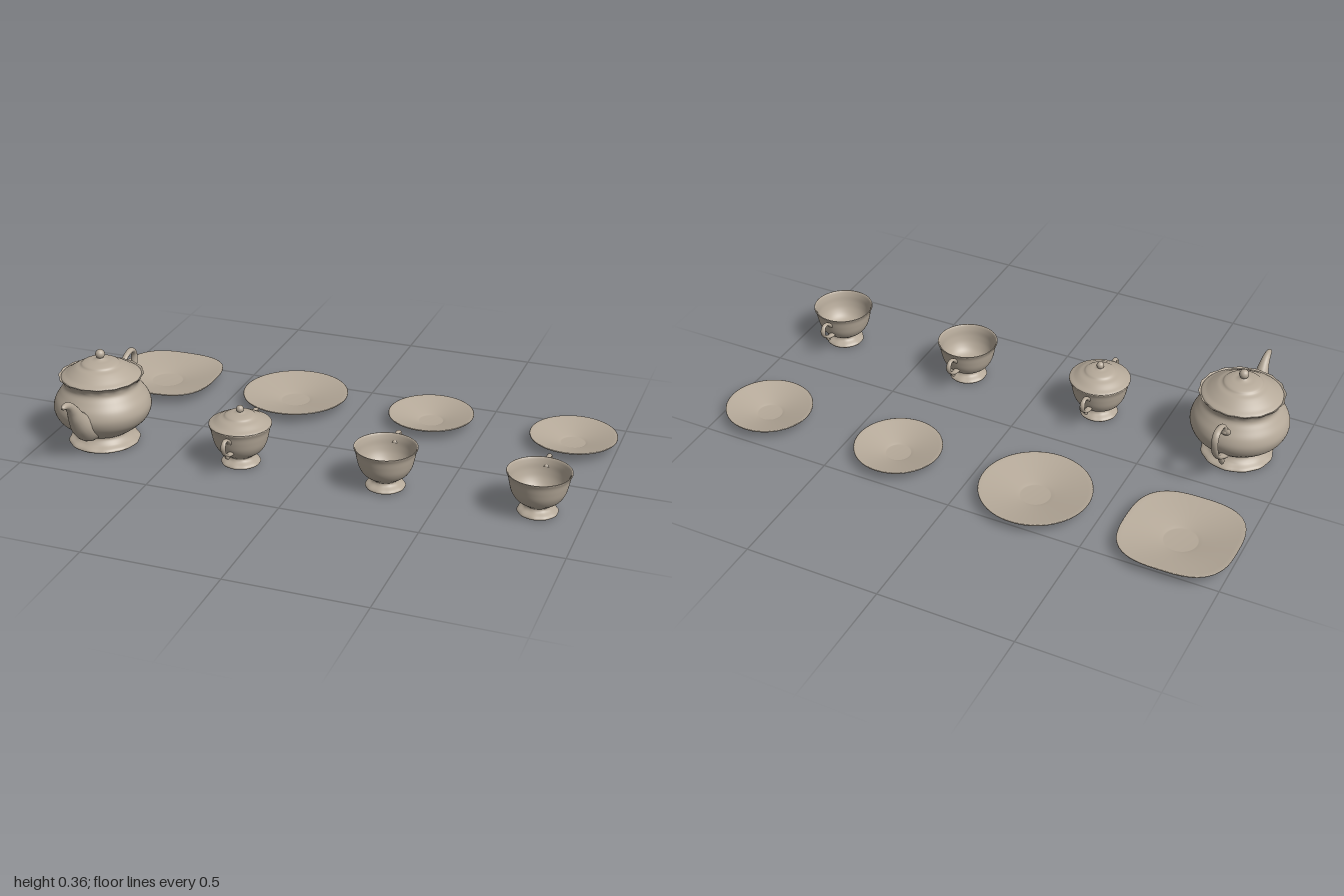
import * as THREE from 'three';
import { mergeVertices } from 'three/addons/utils/BufferGeometryUtils.js';

const china = new THREE.MeshStandardMaterial({ color: 0xb5a999, side: THREE.DoubleSide });
china.name = 'warm grey china';

// Join seams and give smooth normals
function smooth(geo) {
  geo.deleteAttribute('uv');
  geo.deleteAttribute('normal');
  const g = mergeVertices(geo, 1e-5);
  g.computeVertexNormals();
  return g;
}

function part(name, geo) {
  const m = new THREE.Mesh(geo, china);
  m.name = name;
  return m;
}

// Revolve a profile of [radius, height]; warp may move each vertex
function turned(name, profile, { steps = 60, sides = 64, warp } = {}) {
  let pts = profile.map(([r, y]) => new THREE.Vector2(r, y));
  if (steps) {
    const curve = new THREE.CatmullRomCurve3(pts.map(p => new THREE.Vector3(p.x, p.y, 0)), false, 'centripetal');
    pts = curve.getPoints(steps).map(p => new THREE.Vector2(Math.max(p.x, 0), p.y));
  }
  const geo = new THREE.LatheGeometry(pts, sides);
  if (warp) {
    const pos = geo.attributes.position, v = new THREE.Vector3();
    for (let i = 0; i < pos.count; i++) {
      warp(v.fromBufferAttribute(pos, i));
      pos.setXYZ(i, v.x, v.y, v.z);
    }
  }
  return part(name, smooth(geo));
}

// Gentle scallops on the vertices inside a height band
const scallop = (low, high, count, amount) => v => {
  const t = THREE.MathUtils.clamp((v.y - low) / (high - low), 0, 1);
  const k = amount * Math.sin(t * Math.PI) * Math.cos(count * Math.atan2(v.x, v.z));
  v.x *= 1 + k;
  v.z *= 1 + k;
};

// Sweep an oval along a path of [z, y, radius] in the plane x = 0
function swept(name, path, wide = 1, steps = 48, sides = 16) {
  const curve = new THREE.CatmullRomCurve3(path.map(p => new THREE.Vector3(...p)), false, 'centripetal');
  const pos = [], idx = [];
  for (let i = 0; i <= steps; i++) {
    const p = curve.getPoint(i / steps), t = curve.getTangent(i / steps);
    const len = Math.hypot(t.x, t.y) || 1, r = Math.max(p.z, 0.0005);
    for (let j = 0; j < sides; j++) {
      const a = (j / sides) * Math.PI * 2, n = (Math.sin(a) * r) / len;
      pos.push(Math.cos(a) * r * wide, p.y + n * t.x, p.x - n * t.y);
      if (i < steps) {
        const k = (j + 1) % sides, q = i * sides;
        idx.push(q + j, q + k, q + sides + k, q + j, q + sides + k, q + sides + j);
      }
    }
  }
  const geo = new THREE.BufferGeometry();
  geo.setAttribute('position', new THREE.Float32BufferAttribute(pos, 3));
  geo.setIndex(idx);
  geo.computeVertexNormals();
  return part(name, geo);
}

function knob(y, r) {
  const m = part('lidKnob', new THREE.SphereGeometry(r, 24, 16));
  m.position.y = y;
  return m;
}

function group(name, x, z, ...parts) {
  const g = new THREE.Group();
  g.name = name;
  g.position.set(x, 0, z);
  g.add(...parts);
  return g;
}

function teapot() {
  const foot = turned('teapotFoot', [
    [0, 0.012], [0.1, 0.01], [0.126, 0.004], [0.13, 0.009], [0.126, 0.015], [0.108, 0.026], [0.095, 0.042], [0.094, 0.055]
  ], { warp: scallop(0.0, 0.03, 12, 0.015) });
  const body = turned('teapotBody', [
    [0.085, 0.046], [0.1, 0.053], [0.135, 0.078], [0.165, 0.108], [0.178, 0.145], [0.171, 0.178], [0.152, 0.208],
    [0.137, 0.232], [0.14, 0.25], [0.153, 0.266], [0.147, 0.264], [0.134, 0.25], [0.13, 0.235]
  ], { warp: scallop(0.24, 0.29, 16, 0.015) });
  const lid = turned('teapotLid', [
    [0.134, 0.25], [0.146, 0.262], [0.127, 0.275], [0.108, 0.288], [0.09, 0.299], [0.074, 0.306], [0.066, 0.313],
    [0.045, 0.32], [0.024, 0.324], [0.012, 0.331], [0.01, 0.345], [0, 0.348]
  ]);
  const spout = swept('spout', [
    [0.09, 0.09, 0.045], [0.125, 0.107, 0.052], [0.165, 0.135, 0.044], [0.203, 0.178, 0.031], [0.227, 0.217, 0.022],
    [0.25, 0.243, 0.016], [0.275, 0.256, 0.012], [0.297, 0.257, 0.007], [0.301, 0.256, 0.001]
  ]);
  const handle = swept('teapotHandle', [
    [-0.155, 0.197, 0.014], [-0.172, 0.214, 0.011], [-0.186, 0.242, 0.008], [-0.215, 0.257, 0.008], [-0.252, 0.258, 0.009],
    [-0.269, 0.235, 0.009], [-0.259, 0.183, 0.009], [-0.229, 0.14, 0.008], [-0.194, 0.113, 0.009], [-0.15, 0.09, 0.012]
  ], 1.4);
  // Small curls where the handle meets the body
  const curls = [
    swept('handleLowerCurl', [[-0.19, 0.112, 0.005], [-0.178, 0.09, 0.009], [-0.169, 0.07, 0.007], [-0.167, 0.059, 0.001]], 1.2, 16),
    swept('handleUpperCurl', [[-0.182, 0.225, 0.005], [-0.175, 0.208, 0.009], [-0.164, 0.196, 0.001]], 1.2, 12)
  ];
  return group('teapot', -0.797, 0.225, foot, body, lid, knob(0.344, 0.0175), spout, handle, ...curls);
}

// Footed bowl shared by the cups and the sugar bowl
function bowl(name) {
  return turned(name, [
    [0, 0.012], [0.05, 0.01], [0.068, 0.004], [0.071, 0.009], [0.066, 0.015], [0.05, 0.025], [0.046, 0.034], [0.056, 0.042],
    [0.079, 0.06], [0.094, 0.085], [0.102, 0.115], [0.107, 0.14], [0.113, 0.156], [0.109, 0.156], [0.102, 0.138],
    [0.097, 0.112], [0.088, 0.085], [0.07, 0.06], [0.042, 0.047], [0, 0.044]
  ], { steps: 90, warp: scallop(0.0, 0.03, 10, 0.015) });
}

// Ear handle on the side given by s along z
function ear(name, s) {
  const path = [
    [0.1, 0.122, 0.007], [0.112, 0.135, 0.007], [0.13, 0.147, 0.006], [0.148, 0.146, 0.006], [0.157, 0.129, 0.007],
    [0.151, 0.107, 0.006], [0.133, 0.092, 0.006], [0.116, 0.082, 0.007], [0.09, 0.077, 0.008]
  ];
  const curl = [[0.135, 0.093, 0.004], [0.127, 0.08, 0.006], [0.116, 0.071, 0.005], [0.112, 0.068, 0.001]];
  const g = group(name, 0, 0, swept('earLoop', path, 1.4), swept('earCurl', curl, 1.2, 14));
  if (s < 0) g.rotation.y = Math.PI;
  return g;
}

function sugarBowl() {
  const lid = turned('sugarLid', [
    [0.098, 0.151], [0.111, 0.154], [0.113, 0.159], [0.096, 0.168], [0.077, 0.179], [0.06, 0.186], [0.052, 0.192],
    [0.036, 0.197], [0.018, 0.2], [0.009, 0.205], [0.008, 0.213], [0, 0.215]
  ]);
  return group('sugarBowl', -0.253, 0.225, bowl('sugarBody'), lid, knob(0.212, 0.014),
    ear('frontEar', 1), ear('backEar', -1));
}

function saucer(name, x, r, base, square) {
  const profile = [[0, 0.002], [base * 0.9, 0.002], [base, 0], [base * 1.04, 0.002]];
  const n = 10;
  for (let i = 1; i <= n; i++) profile.push([base + ((r - base) * i) / n, 0.002 + (0.036 * i) / n]);
  profile.push([r, 0.041], [r - 0.003, 0.042]);
  for (let i = 1; i <= n; i++) profile.push([r - 0.003 - ((r - base - 0.003) * i) / n, 0.042 - (0.033 * i) / n]);
  profile.push([base * 0.94, 0.007], [0, 0.007]);
  // Push the rim out to a rounded square, keeping the foot round
  const warp = v => {
    const d = Math.hypot(v.x, v.z);
    if (d < 1e-6) return;
    const c = Math.abs(v.x / d), s = Math.abs(v.z / d);
    const f = (c ** 2.9 + s ** 2.9) ** (-1 / 2.9) - 1;
    const k = 1 + f * THREE.MathUtils.smoothstep(d, base, r);
    v.x *= k;
    v.z *= k;
  };
  const m = turned(name, profile, { steps: 0, sides: 72, warp: square ? warp : undefined });
  m.position.set(x, 0, -0.325);
  return m;
}

export function createModel() {
  const set = new THREE.Group();
  set.name = 'teaSet';
  set.add(teapot(), sugarBowl());
  for (const [name, x] of [['rightCup', 0.293], ['leftCup', 0.838]]) {
    set.add(group(name, x, 0.225, bowl('cupBody'), ear('cupHandle', -1)));
    set.add(saucer(name + 'Saucer', x, 0.161, 0.047, false));
  }
  set.add(saucer('teapotPlate', -0.797, 0.204, 0.062, true));
  set.add(saucer('sugarPlate', -0.253, 0.202, 0.056, false));
  return set;
}
